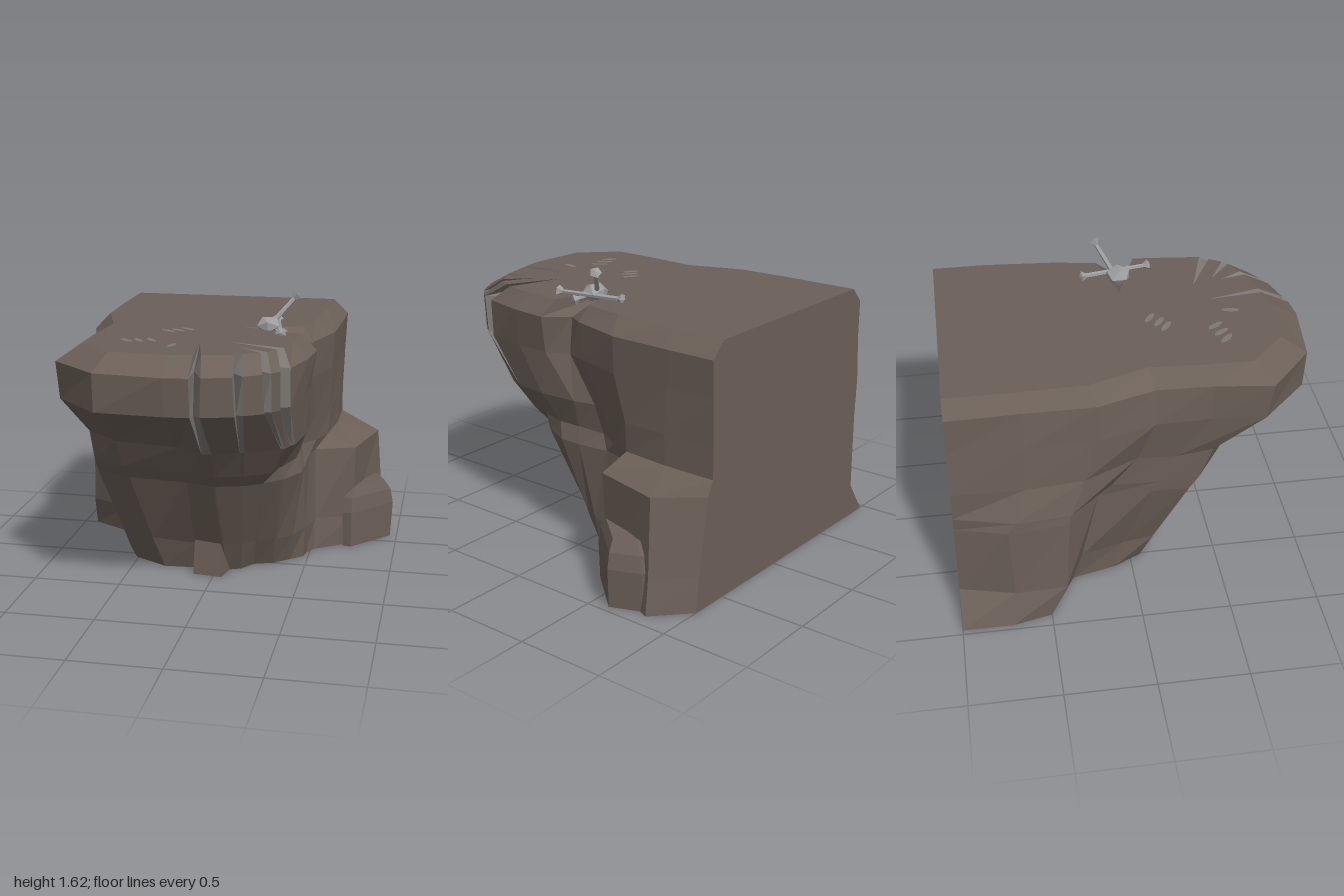
import * as THREE from 'three';

const rock = new THREE.MeshStandardMaterial({ color: 0x6c6058 }); rock.name = 'brown rock';
const cut = new THREE.MeshStandardMaterial({ color: 0x7d7974 }); cut.name = 'grey cut stone';
const steel = new THREE.MeshStandardMaterial({ color: 0x9b9d9e }); steel.name = 'grey steel';

// Outlines [x, z] from the rear -x corner, round the front, to the rear +x corner
const TOP = [[-.74, -1], [-.74, -.6], [-.73, -.25], [-.62, .07], [-.64, .4], [-.64, .63], [-.44, .82], [-.11, .84],
  [.01, .82], [.05, .81], [.21, .77], [.25, .75], [.34, .7], [.37, .67], [.41, .6], [.44, .55],
  [.46, .38], [.48, .16], [.12, .03], [.46, -.06], [.5, -.3], [.53, -.7], [.53, -1]];
const RIM = [[-.82, -1], [-.81, -.6], [-.81, -.22], [-.71, .1], [-.72, .4], [-.76, .72], [-.49, .96], [-.11, 1],
  [.02, .985], [.08, .965], [.23, .92], [.28, .89], [.37, .83], [.41, .79], [.45, .74], [.49, .65],
  [.55, .4], [.57, .19], [.47, .05], [.52, -.04], [.61, -.35], [.62, -.7], [.62, -1]];
const BROW = [[-.82, -1], [-.83, -.6], [-.82, -.22], [-.73, .1], [-.72, .4], [-.75, .69], [-.49, .95], [-.11, .97],
  [.02, .96], [.07, .95], [.24, .9], [.28, .87], [.38, .81], [.41, .77], [.45, .72], [.49, .64],
  [.53, .4], [.54, .19], [.48, .06], [.52, -.07], [.6, -.35], [.61, -.7], [.61, -1]];
const NECK = [[-.84, -1], [-.86, -.6], [-.83, -.3], [-.7, .0], [-.67, .22], [-.66, .42], [-.48, .58], [-.11, .66],
  [.03, .72], [.085, .72], [.225, .66], [.25, .655], [.43, .55], [.45, .53], [.47, .47], [.49, .44],
  [.51, .25], [.52, .03], [.47, -.12], [.53, -.22], [.575, -.42], [.6, -.7], [.6, -1]];
const WAIST = [[-.83, -1], [-.92, -.7], [-.9, -.4], [-.69, -.2], [-.67, .08], [-.66, .31], [-.46, .43], [-.11, .48],
  [.05, .5], [.06, .5], [.2, .46], [.21, .455], [.3, .4], [.31, .39], [.4, .3], [.41, .29],
  [.48, .12], [.5, 0], [.5, -.2], [.52, -.32], [.76, -.4], [.84, -.8], [.64, -1]];
const FOOT = [[-.97, -1], [-.97, -.72], [-.92, -.5], [-.65, -.35], [-.59, -.1], [-.51, .06], [-.31, .17], [-.13, .16],
  [.05, .16], [.06, .16], [.13, .13], [.14, .125], [.2, .04], [.21, .035], [.31, 0], [.32, -.01],
  [.4, -.08], [.47, -.14], [.48, -.2], [.52, -.28], [.74, -.43], [.92, -.82], [.73, -1]];

// Groove that opens after the given column, with the tip of its cut in the top
const GROOVES = { 8: [-.02, .51], 10: [.18, .63], 12: [.2, .575], 14: [.135, .455] };

const mix = (a, b, t) => [a[0] + (b[0] - a[0]) * t, a[1] + (b[1] - a[1]) * t];
let seed = 7;
const jitter = (s) => { seed = (seed * 16807) % 2147483647; return (seed / 2147483647 - .5) * 2 * s; };

// Places an outline at a height, adding the groove floors
function ring(outline, y, depth, rough = 0) {
  const pts = [];
  outline.forEach((p, i) => {
    const fixed = i === 0 || i === outline.length - 1 || (i >= 8 && i <= 15);
    const r = fixed ? 0 : rough;
    pts.push([p[0] + jitter(r), y + jitter(r), p[1] + jitter(r)]);
    if (GROOVES[i]) {
      const f = mix(mix(p, outline[i + 1], .25), GROOVES[i], depth);
      pts.push([f[0], y, f[1]]);
    }
  });
  return pts;
}

function facets(list) {
  const g = new THREE.BufferGeometry();
  g.setAttribute('position', new THREE.Float32BufferAttribute(list.flat(), 3));
  g.computeVertexNormals();
  return g;
}

// Joins stacked rings into walls; pick(row, i, j) gives the list a face goes to
function walls(rings, pick) {
  const n = rings[0].length;
  for (let r = 0; r < rings.length - 1; r++) {
    for (let i = 0; i < n; i++) {
      const j = (i + 1) % n, lo = rings[r], hi = rings[r + 1];
      pick(r, i, j).push(lo[i], lo[j], hi[j], lo[i], hi[j], hi[i]);
    }
  }
}

// Closes the first ring below and the last ring above
function caps(rings, list) {
  for (const [pts, up] of [[rings[rings.length - 1], 1], [rings[0], -1]]) {
    const plan = pts.map((p) => new THREE.Vector2(p[0], -p[2]));
    for (const [a, b, c] of THREE.ShapeUtils.triangulateShape(plan, [])) {
      const area = plan[b].clone().sub(plan[a]).cross(plan[c].clone().sub(plan[a]));
      if (area * up > 0) list.push(pts[a], pts[b], pts[c]);
      else list.push(pts[a], pts[c], pts[b]);
    }
  }
}

function flat(g) {
  const f = g.index ? g.toNonIndexed() : g;
  f.computeVertexNormals();
  return f;
}

function add(parent, name, geometry, material) {
  const m = new THREE.Mesh(geometry, material);
  m.name = name;
  parent.add(m);
  return m;
}

function cliff(group) {
  // The -x pillar stays upright, then flares out at the foot
  const knee = FOOT.map((p, i) => {
    const q = mix(p, WAIST[i], i < 3 ? .95 : .3);
    return i % 3 === 1 && i > 2 && i < 8 ? mix(q, [0, -.5], .03) : q;
  });
  // The shelf steps in above the +x ledge and above the waist of the +x side
  const shelf = NECK.map((p, i) => {
    const q = mix(p, WAIST[i], i >= 20 ? 0 : .62);
    return i >= 14 && i <= 18 ? mix(q, [0, 0], .09) : q;
  });
  const rings = [ring(FOOT, 0, 0), ring(knee, .19, 0, .012), ring(WAIST, .62, 0, .015), ring(shelf, .7, 0, .012),
    ring(NECK, .87, 0, .015), ring(BROW, 1.13, .13), ring(RIM, 1.34, .32), ring(TOP, 1.425, 1)];
  const floors = Object.keys(GROOVES).map((k, j) => +k + 1 + j);
  const stone = [], cuts = [];
  walls(rings, (r, i, j) => (r >= 4 && (floors.includes(i) || floors.includes(j)) ? cuts : stone));
  caps(rings, stone);
  add(group, 'cliff', facets(stone), rock);
  add(group, 'rimGrooves', facets(cuts), cut);
}

// Faceted boulder on the ground: an outline scaled about a centre at each [scale, height]
function boulder(group, name, centre, outline, levels) {
  const rings = levels.map(([s, y]) => outline.map((p) => {
    const q = mix(centre, p, s);
    return [q[0], y, q[1]];
  }));
  const stone = [];
  walls(rings, () => stone);
  caps(rings, stone);
  add(group, name, facets(stone), rock);
}

// Rod between two points with a pointed knob on chosen ends
function rod(group, name, a, b, knobs) {
  const A = new THREE.Vector3(...a), B = new THREE.Vector3(...b), d = B.clone().sub(A);
  const g = new THREE.Group();
  g.name = name;
  g.position.copy(A);
  g.quaternion.setFromUnitVectors(new THREE.Vector3(0, 1, 0), d.clone().normalize());
  const len = d.length();
  const shaft = flat(new THREE.CylinderGeometry(.012, .015, len, 6));
  add(g, 'shaft', shaft, steel).position.y = len / 2;
  for (const t of knobs) {
    const k = add(g, 'knob', flat(new THREE.CylinderGeometry(.034, .014, .028, 5)), steel);
    k.position.y = t * len;
    if (!t) k.rotation.x = Math.PI;
    const tip = add(g, 'knobTip', flat(new THREE.ConeGeometry(.034, .014, 5)), steel);
    tip.position.y = t * len + (t ? .021 : -.021);
    if (!t) tip.rotation.x = Math.PI;
  }
  group.add(g);
}

export function createModel() {
  const model = new THREE.Group();
  model.name = 'rockyOverhang';
  cliff(model);
  boulder(model, 'sideBoulder', [.75, -.57],
    [[.68, -.36], [.735, -.35], [.97, -.61], [.9, -.78], [.68, -.8]], [[.95, 0], [1, .22], [.92, .31], [.74, .37]]);
  boulder(model, 'frontBoulder', [-.02, .1],
    [[-.14, .1], [-.12, .26], [.05, .28], [.09, .1], [-.02, -.02]], [[1, 0], [.92, .21], [.75, .235]]);

  // Scratches on the top: x, z, heading
  const scratches = [[-.165, .155, .6], [-.21, .2, .6], [-.26, .23, .6],
    [-.42, .53, .75], [-.355, .515, .95], [-.29, .495, .95], [-.15, .61, 1.75]];
  const marks = new THREE.Group();
  marks.name = 'scratches';
  for (const [x, z, a] of scratches) {
    const m = add(marks, 'scratch', new THREE.CircleGeometry(1, 8).rotateX(-Math.PI / 2).scale(.052, 1, .018), cut);
    m.position.set(x, 1.429, z);
    m.rotation.y = -a;
  }
  model.add(marks);

  // Spiked anchor wedged in the notch
  const anchor = new THREE.Group();
  anchor.name = 'anchor';
  const hub = add(anchor, 'hub', flat(new THREE.IcosahedronGeometry(.076, 0)), steel);
  hub.position.set(.28, 1.445, .045);
  hub.scale.y = .7;
  rod(anchor, 'crossBar', [.3, 1.44, -.15], [.37, 1.44, .22], [0, 1]);
  rod(anchor, 'raisedSpike', [.28, 1.44, .03], [.41, 1.59, -.07], [1]);
  rod(anchor, 'shortSpike', [.28, 1.44, .04], [.365, 1.41, .11], [1]);
  model.add(anchor);
  return model;
}
